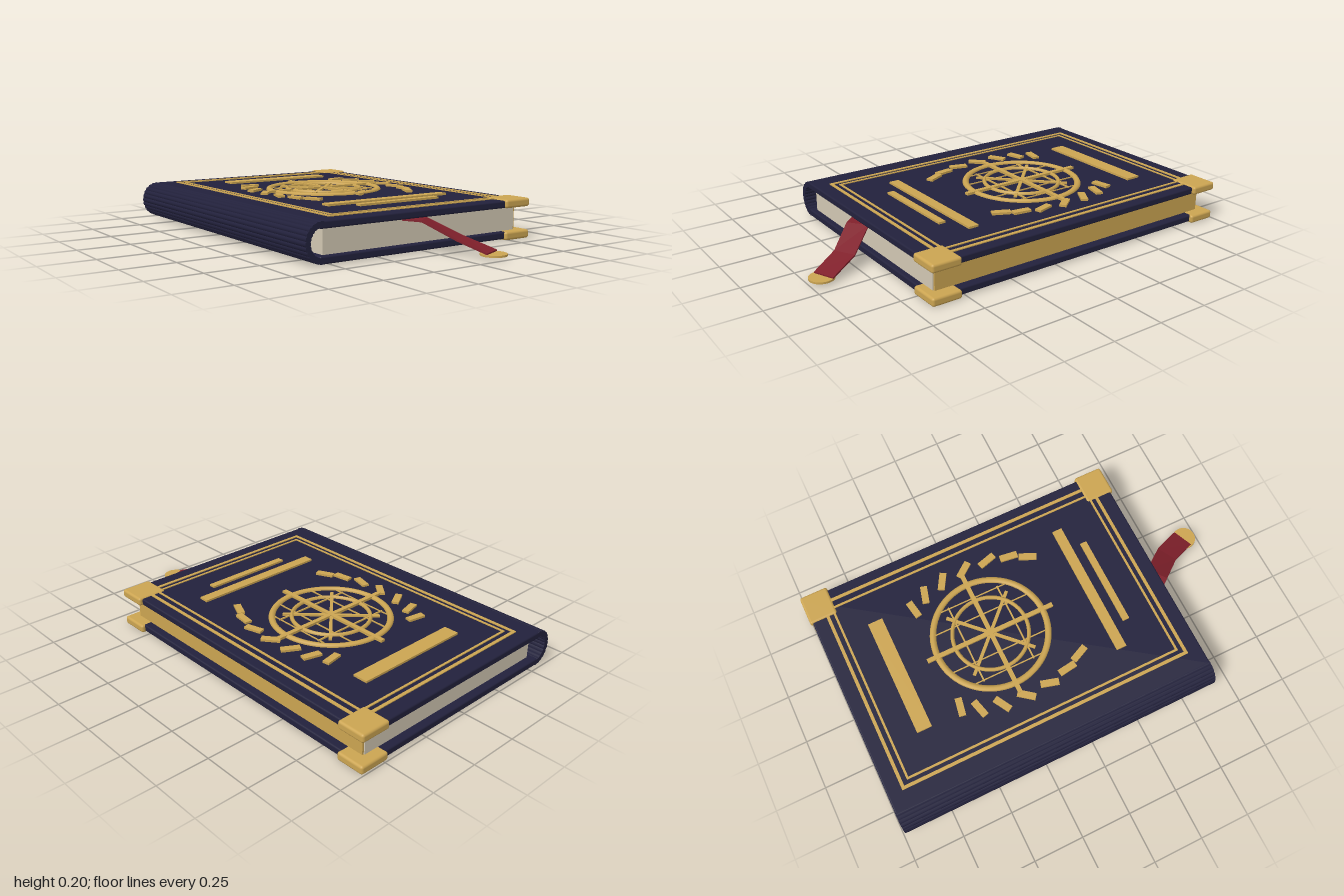
import * as THREE from 'three';
import { RoundedBoxGeometry } from 'three/addons/geometries/RoundedBoxGeometry.js';

const material = (name, color) => {
  const m = new THREE.MeshStandardMaterial({ color });
  m.name = name;
  return m;
};

export function createModel() {
  const navy = material('navy leather', 0x22213c);
  const gold = material('gold', 0xcba451);
  const paper = material('paper', 0xd2c8b3);
  const red = material('red ribbon', 0x80202b);

  const book = new THREE.Group();
  book.name = 'book';
  const add = (name, geometry, mat, parent = book) => {
    const mesh = new THREE.Mesh(geometry, mat);
    mesh.name = name;
    parent.add(mesh);
    return mesh;
  };
  const group = (name, x = 0, y = 0, z = 0) => {
    const g = new THREE.Group();
    g.name = name;
    g.position.set(x, y, z);
    book.add(g);
    return g;
  };
  // Box given by its limits along x, y and z, with an optional edge radius
  const block = (name, [x0, x1], [y0, y1], [z0, z1], mat, radius = 0, parent = book) => {
    const size = [x1 - x0, y1 - y0, z1 - z0];
    const g = radius ? new RoundedBoxGeometry(...size, 3, radius) : new THREE.BoxGeometry(...size);
    const mesh = add(name, g, mat, parent);
    mesh.position.set((x0 + x1) / 2, (y0 + y1) / 2, (z0 + z1) / 2);
    return mesh;
  };

  const zBack = -0.985, zFront = 0.66, zMid = (zBack + zFront) / 2, top = 0.187;

  // Covers, page block and gilded fore edge
  block('topCover', [-0.56, 0.612], [0.153, top], [zBack, zFront], navy, 0.008);
  block('bottomCover', [-0.56, 0.612], [0.006, 0.04], [zBack, zFront], navy, 0.008);
  block('pages', [-0.53, 0.562], [0.038, 0.155], [-0.945, 0.632], paper);
  block('gildedForeEdge', [0.556, 0.571], [0.039, 0.154], [-0.94, 0.627], gold);

  // Metal corners on the fore edge
  for (const [y0, y1] of [[0, 0.041], [0.152, 0.193]])
    for (const [z0, z1] of [[-0.997, -0.855], [0.526, 0.674]])
      block('metalCorner', [0.477, 0.63], [y0, y1], [z0, z1], gold, 0.012);

  // Ribbed hollow spine
  const spine = group('spine', -0.55, 0.097, zMid);
  const ribs = 12;
  for (let i = 0; i <= ribs; i++) {
    const a = Math.PI / 2 + (Math.PI * i) / ribs;
    const rib = add('spineRib', new THREE.CylinderGeometry(0.0145, 0.0145, zFront - zBack, 10), navy, spine);
    rib.rotation.x = Math.PI / 2;
    rib.position.set(0.067 * Math.cos(a), 0.076 * Math.sin(a), 0);
  }
  // Gold bands that show between the ribs
  for (let i = -2; i <= 2; i++) {
    const band = add('spineBand', new THREE.CylinderGeometry(1, 1, 0.02, 32, 1, false, Math.PI, Math.PI), gold, spine);
    band.rotation.x = Math.PI / 2;
    band.scale.set(0.076, 1, 0.085);
    band.position.z = i * 0.31 - 0.0025;
  }

  // Double border on the top cover
  const border = (x0, x1, z0, z1, w) => {
    const y = [top - 0.004, top + 0.004];
    block('borderLine', [x0, x0 + w], y, [z0, z1], gold);
    block('borderLine', [x1 - w, x1], y, [z0, z1], gold);
    block('borderLine', [x0 + w, x1 - w], y, [z0, z0 + w], gold);
    block('borderLine', [x0 + w, x1 - w], y, [z1 - w, z1], gold);
  };
  border(-0.465, 0.56, -0.913, 0.587, 0.016);
  border(-0.43, 0.516, -0.875, 0.55, 0.011);

  // Plain raised bars
  const barY = [top - 0.003, 0.197];
  block('titleBar', [-0.25, 0.35], barY, [-0.745, -0.67], gold);
  block('lowerBar', [-0.3, 0.4], barY, [0.285, 0.336], gold);
  block('smallLowerBar', [-0.18, 0.28], barY, [0.382, 0.416], gold);

  // Round medallion: rings, spokes and a fine lattice
  const medallion = group('medallion', 0.05, top, -0.225);
  for (const [radius, tube] of [[0.281, 0.016], [0.187, 0.01]]) {
    const ring = add('medallionRing', new THREE.TorusGeometry(radius, tube, 8, 64), gold, medallion);
    ring.rotation.x = Math.PI / 2;
    ring.scale.z = 0.013 / tube;
  }
  const strip = (length, width, height, angle, x = 0, z = 0, name = 'spoke') => {
    const s = add(name, new THREE.BoxGeometry(length, height * 2, width), gold, medallion);
    s.position.set(x, 0, z);
    s.rotation.y = angle;
  };
  for (let i = 0; i < 4; i++)
    strip(i % 2 ? 0.46 : 0.67, i % 2 ? 0.016 : 0.022, i % 2 ? 0.009 : 0.012, (i * Math.PI) / 4);
  for (const s of [-1, 1]) {
    strip(0.5, 0.006, 0.005, Math.PI / 2, s * 0.105, 0, 'latticeLine');
    strip(0.36, 0.006, 0.004, Math.PI / 2, s * 0.203, 0, 'latticeLine');
    strip(0.42, 0.008, 0.006, 0, 0, s * 0.132, 'latticeLine');
  }

  // Laurel leaves on both sides: distance from the axis, z and tilt in degrees
  const leaves = [
    [0.275, -0.287, -10], [0.322, -0.208, 15], [0.35, -0.102, 30], [0.36, 0.02, 52],
    [0.355, 0.145, 74], [0.327, 0.253, 98], [0.285, 0.338, 115],
  ];
  for (const [x, z, tilt] of leaves)
    for (const s of [-1, 1])
      strip(0.09, 0.034, 0.011, -s * THREE.MathUtils.degToRad(tilt), s * x, z, 'laurelLeaf');

  // Ribbon bookmark: flat cross-sections along a bent path, as x, y, z
  const path = [[-0.08, 0.149, 0.59], [-0.02, 0.145, 0.667], [0.08, 0.07, 0.79], [0.14, 0.023, 0.925]];
  const across = [[0.8, -0.62], [0.8, -0.62], [0.88, -0.5], [0.92, -0.4]];
  const half = 0.054, thick = 0.004;
  const points = [], index = [];
  path.forEach(([x, y, z], i) => {
    const [dx, dz] = across[i].map((d) => d * half);
    for (const [s, t] of [[-1, 1], [1, 1], [1, -1], [-1, -1]])
      points.push(x + s * dx, y + t * thick, z + s * dz);
    if (i > 0)
      for (let k = 0; k < 4; k++) {
        const a = (i - 1) * 4 + k, b = (i - 1) * 4 + ((k + 1) % 4);
        index.push(a, a + 4, b, b, a + 4, b + 4);
      }
  });
  const last = (path.length - 1) * 4;
  index.push(0, 1, 2, 0, 2, 3, last, last + 2, last + 1, last, last + 3, last + 2);
  let ribbon = new THREE.BufferGeometry();
  ribbon.setAttribute('position', new THREE.Float32BufferAttribute(points, 3));
  ribbon.setIndex(index);
  ribbon = ribbon.toNonIndexed();
  ribbon.computeVertexNormals();
  red.side = THREE.DoubleSide;
  add('ribbon', ribbon, red);
  add('ribbonTip', new THREE.CylinderGeometry(0.059, 0.059, 0.009, 32), gold).position.set(0.14, 0.0165, 0.934);

  return book;
}
